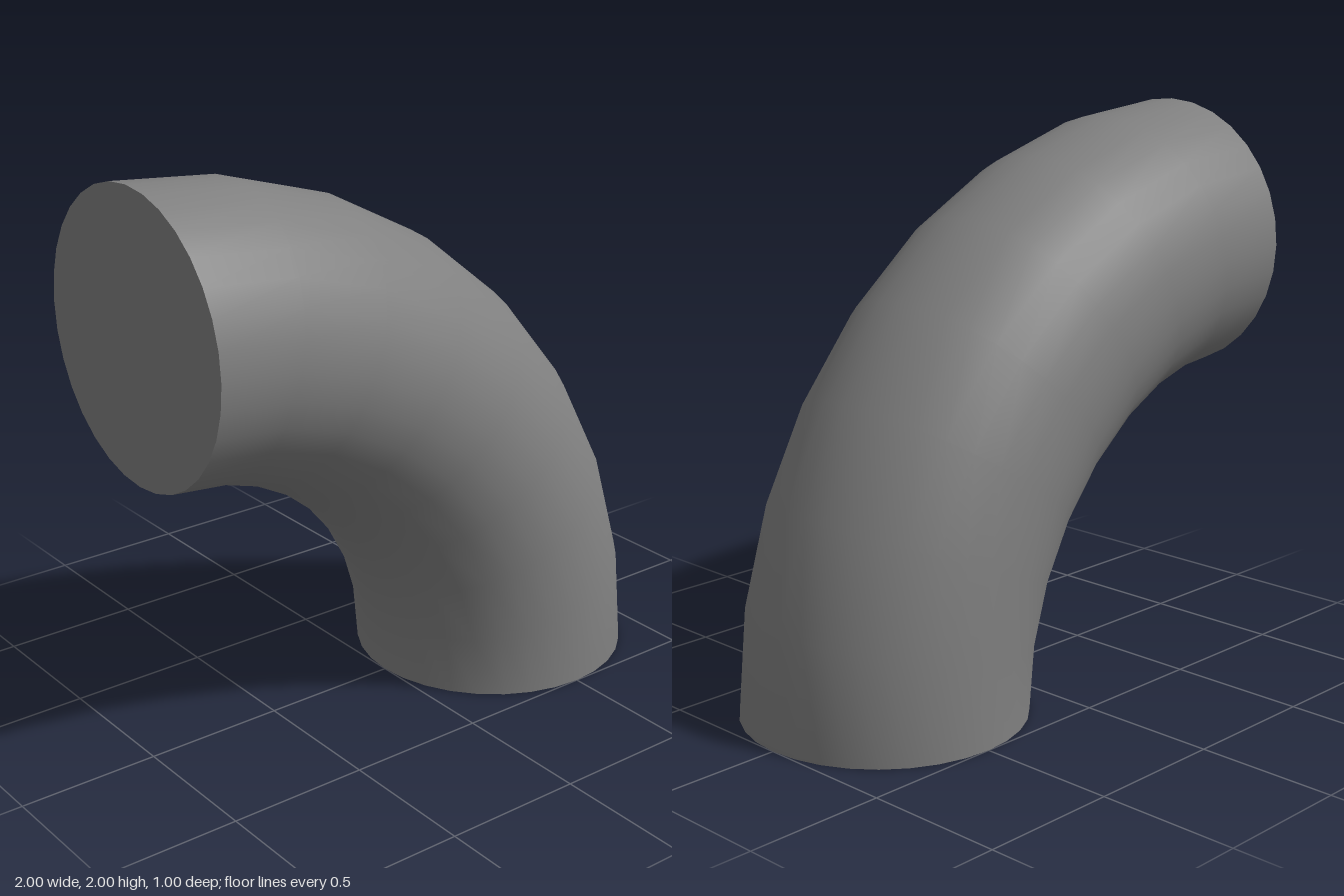
import * as THREE from 'three';

const BEND = 1.5;   // radius of the bend's centre line
const RADIUS = 0.5; // radius of the pipe
const SIDES = 32;
const STEPS = 8;

export function createModel() {
  const group = new THREE.Group();
  group.name = 'pipeElbow';
  const material = new THREE.MeshStandardMaterial({ color: 0x808080 });

  const add = (name, geometry, x, y) => {
    const mesh = new THREE.Mesh(geometry, material);
    mesh.name = name;
    mesh.position.set(x, y, 0);
    group.add(mesh);
  };

  // Quarter bend, from the floor up to the side opening
  add('bend', new THREE.TorusGeometry(BEND, RADIUS, SIDES, STEPS, Math.PI / 2), -1, 0);

  // Flat caps closing both ends
  const cap = () => new THREE.CircleGeometry(RADIUS, SIDES);
  add('bottomCap', cap().rotateX(Math.PI / 2), BEND - 1, 0);
  add('sideCap', cap().rotateY(-Math.PI / 2), -1, BEND);

  return group;
}
